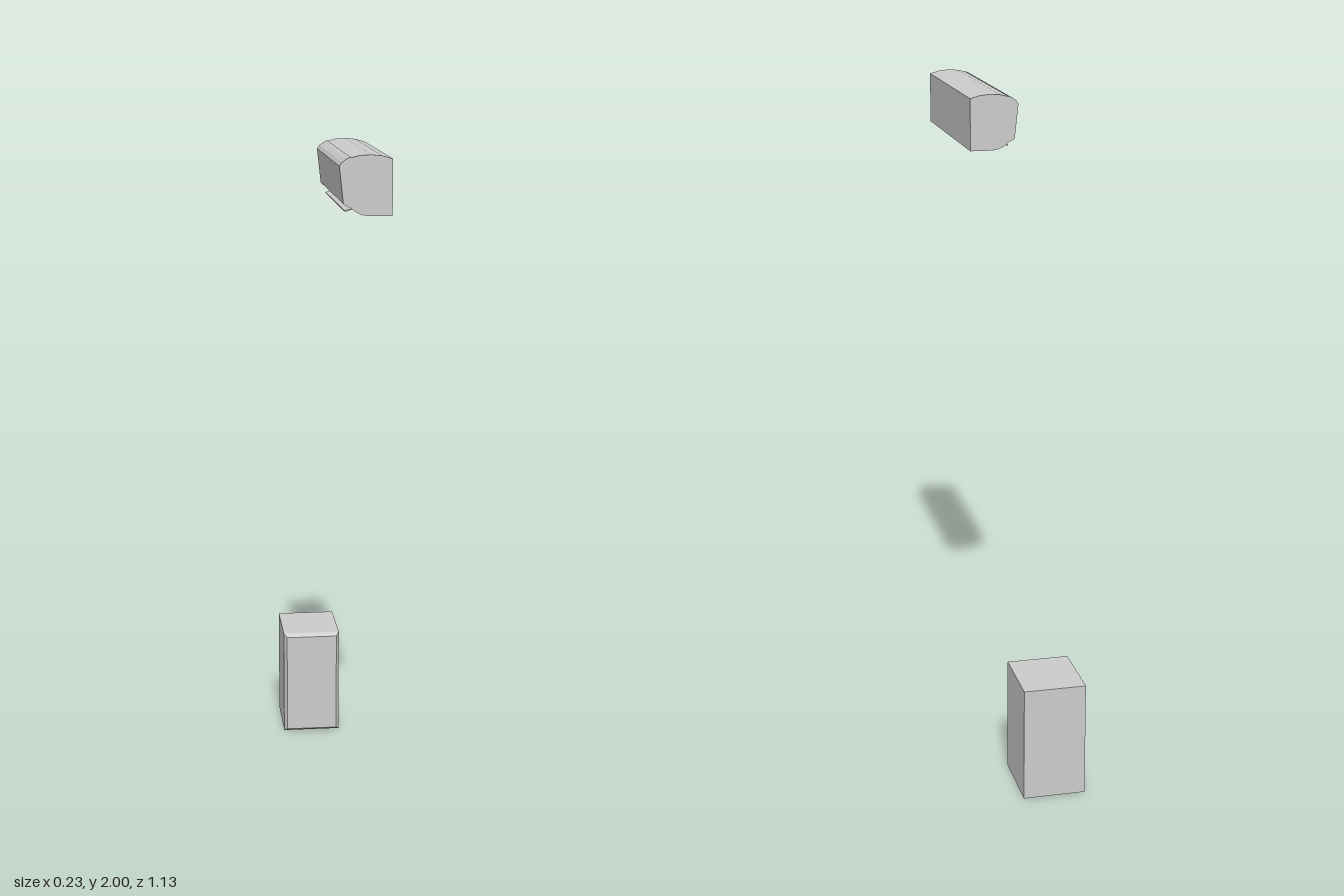
import * as THREE from 'three';

const material = new THREE.MeshStandardMaterial({ color: 0xcccccc, flatShading: true });

// Extrudes an x/y outline from z0 to z1
function prism(name, points, z0, z1) {
  const shape = new THREE.Shape(points.map(([x, y]) => new THREE.Vector2(x, y)));
  const geometry = new THREE.ExtrudeGeometry(shape, { depth: z1 - z0, bevelEnabled: false });
  geometry.translate(0, 0, z0);
  const mesh = new THREE.Mesh(geometry, material);
  mesh.name = name;
  return mesh;
}

function box(name, [x0, y0, z0], [x1, y1, z1]) {
  const geometry = new THREE.BoxGeometry(x1 - x0, y1 - y0, z1 - z0);
  geometry.translate((x0 + x1) / 2, (y0 + y1) / 2, (z0 + z1) / 2);
  const mesh = new THREE.Mesh(geometry, material);
  mesh.name = name;
  return mesh;
}

export function createModel() {
  const model = new THREE.Group();
  model.name = 'splitAirConditioner';

  // Wall unit: its flat back faces +x, its curved cover faces -x
  const indoor = new THREE.Group();
  indoor.name = 'indoorUnit';
  indoor.add(prism('indoorBody', [
    [0.114, 1.837], [0.114, 1.989], [0.085, 1.997], [0.055, 2], [0.025, 1.998], [0, 1.992],
    [0, 1.86], [0.012, 1.849], [0.03, 1.84], [0.05, 1.837],
  ], -0.057, 0.563));
  indoor.add(prism('frontCover', [
    [0, 1.994], [-0.012, 1.988], [-0.023, 1.98], [-0.03, 1.97],
    [-0.019, 1.87], [-0.014, 1.865], [0, 1.859],
  ], -0.054, 0.56));
  // Thin air flap below the cover
  indoor.add(prism('airFlap', [
    [-0.008, 1.842], [0.015, 1.849], [0.014, 1.852], [-0.009, 1.845],
  ], -0.01, 0.5));

  // Floor unit with a chamfered front panel
  const outdoor = new THREE.Group();
  outdoor.name = 'outdoorUnit';
  outdoor.add(box('outdoorBody', [-0.115, 0, -0.565], [0.07, 0.345, -0.352]));
  const panel = box('frontPanel', [-0.115, 0, -0.352], [0.07, 0.345, -0.337]);
  const p = panel.geometry.attributes.position;
  const cx = -0.0225, cy = 0.1725, chamfer = 0.01;
  for (let i = 0; i < p.count; i++) {
    if (p.getZ(i) < -0.345) continue;
    p.setX(i, p.getX(i) - Math.sign(p.getX(i) - cx) * chamfer);
    p.setY(i, p.getY(i) - Math.sign(p.getY(i) - cy) * chamfer);
  }
  panel.geometry.computeVertexNormals();
  outdoor.add(panel);

  model.add(indoor, outdoor);
  return model;
}
